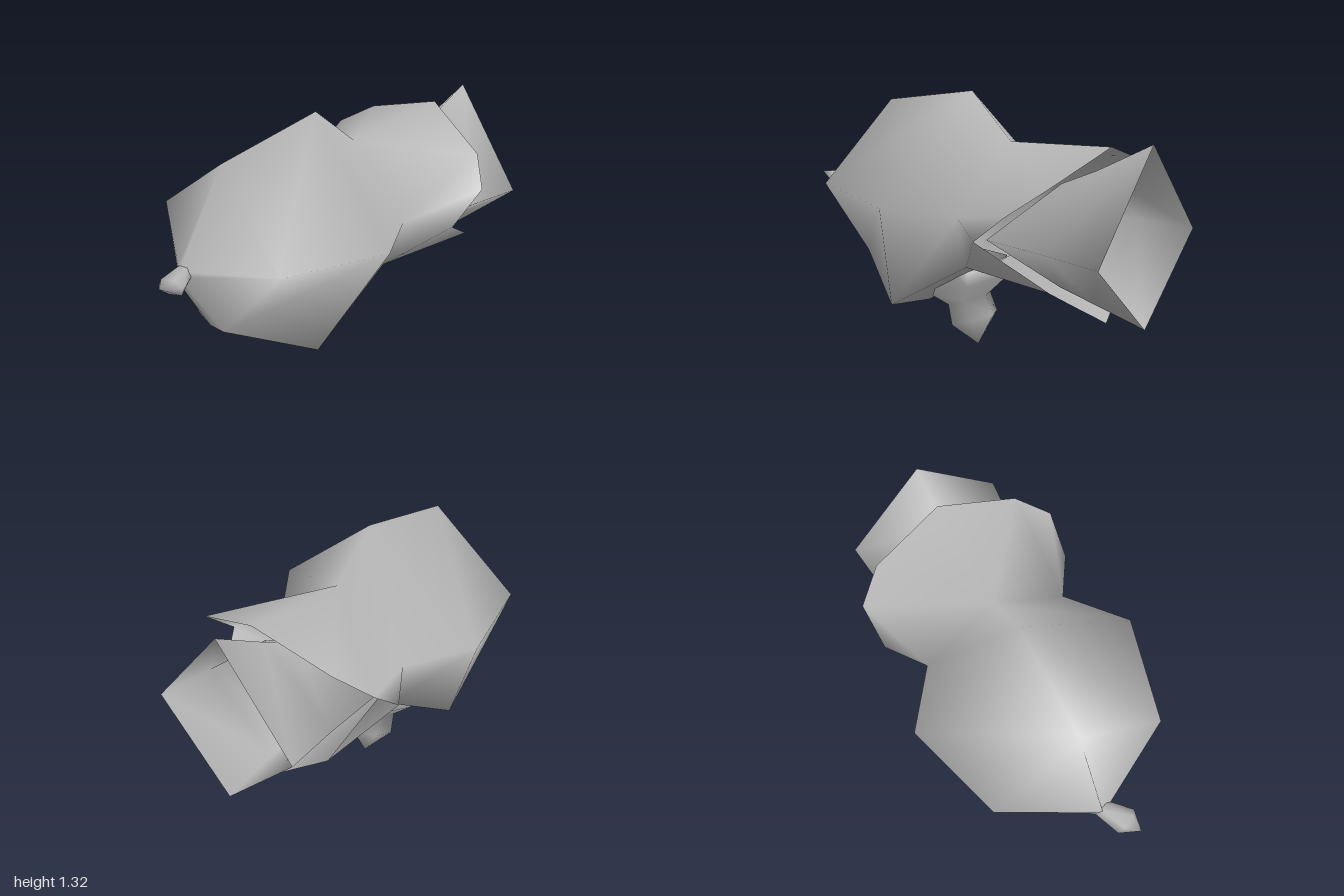
import * as THREE from 'three';
import { mergeVertices } from 'three/addons/utils/BufferGeometryUtils.js';

const grey = new THREE.MeshStandardMaterial({ color: 0xb8b8b8, side: THREE.DoubleSide });
grey.name = 'grey';

// Skin a list of equal-length closed rings with smooth normals; tip closes the last ring
function loft(name, rings, tip) {
  const n = rings[0].length, pos = rings.flat(2), index = [];
  for (let r = 0; r < rings.length - 1; r++) {
    for (let i = 0; i < n; i++) {
      const a = r * n + i, b = r * n + (i + 1) % n;
      index.push(a, b, a + n, b, b + n, a + n);
    }
  }
  if (tip) {
    const t = pos.length / 3, s = t - n;
    pos.push(...tip);
    for (let i = 0; i < n; i++) index.push(s + i, s + (i + 1) % n, t);
  }
  let g = new THREE.BufferGeometry();
  g.setAttribute('position', new THREE.Float32BufferAttribute(pos, 3));
  g.setIndex(index);
  g = mergeVertices(g);
  g.computeVertexNormals();
  const mesh = new THREE.Mesh(g, grey);
  mesh.name = name;
  return mesh;
}

// Half ring from top to bottom on +x, completed by its mirror image
const mirrorRing = half => [
  ...half,
  ...half.slice(1, -1).reverse().map(([x, y, z]) => [-x, y, z]),
];

// Six-cornered body ring; top and side are doubled so it joins the ten-point collar rim
const bodyRing = (top, side, low, bottom) => mirrorRing([top, top, side, side, low, bottom]);

// Regular ring spanned by two half axes
function spanRing(c, u, v, n = 6) {
  return Array.from({ length: n }, (_, i) => {
    const a = i / n * Math.PI * 2;
    return c.map((p, k) => p + u[k] * Math.cos(a) + v[k] * Math.sin(a));
  });
}

export function createModel() {
  const model = new THREE.Group();
  model.name = 'model';

  // Faceted body with a narrow upright nose ridge, waist and flared jagged collar
  model.add(loft('bodyAndCollar', [
    bodyRing([0, 0.79, 0.83], [0.006, 0.76, 0.83], [0.006, 0.73, 0.835], [0, 0.71, 0.84]),
    bodyRing([0, 1.22, 0.57], [0.455, 0.85, 0.6], [0.1, 0.4, 0.67], [0, 0.39, 0.68]),
    bodyRing([0, 1.32, 0.02], [0.6, 0.845, 0.08], [0.33, 0.24, 0.28], [0, 0.165, 0.32]),
    bodyRing([0, 1.1, -0.22], [0.385, 0.8, -0.21], [0.29, 0.53, -0.18], [0, 0.45, -0.11]),
    mirrorRing([
      [0, 1.15, -0.785], [0.385, 1.015, -0.71], [0.53, 0.91, -0.6],
      [0.52, 0.76, -0.415], [0.35, 0.54, -0.71], [0, 0.31, -0.79],
    ]),
  ]));

  // Open four-sided tail tube
  const tailRing = (z, top, side, bottom, sideZ = z) =>
    mirrorRing([[0, top, z], [side, 0.72, sideZ], [0, bottom, z]]);
  model.add(loft('tailTube', [
    tailRing(-0.52, 0.94, 0.36, 0.43, -0.36),
    tailRing(-0.71, 1.03, 0.38, 0.39),
    tailRing(-0.995, 1.19, 0.41, 0.33),
  ]));

  // Small crooked nose bud
  model.add(loft('noseBud', [
    spanRing([0.015, 0.75, 0.81], [0.045, 0, -0.01], [0, 0.04, 0]),
    spanRing([0.08, 0.75, 0.92], [0.06, 0.01, -0.03], [0, 0.055, 0.02]),
  ], [0.11, 0.79, 1.0]));

  // Bud under the belly on a tapered base
  model.add(loft('bellyBud', [
    spanRing([0, 0.46, 0.0], [0, 0, 0.16], [-0.18, 0, 0]),
    spanRing([0, 0.335, 0.01], [0, -0.095, 0.23], [-0.22, 0, 0]),
    spanRing([0, 0.24, 0.04], [0, -0.04, 0.11], [-0.12, 0, 0]),
    spanRing([0, 0.14, 0.005], [0, -0.05, 0.125], [-0.125, 0, 0]),
  ], [0, 0, -0.02]));

  return model;
}
